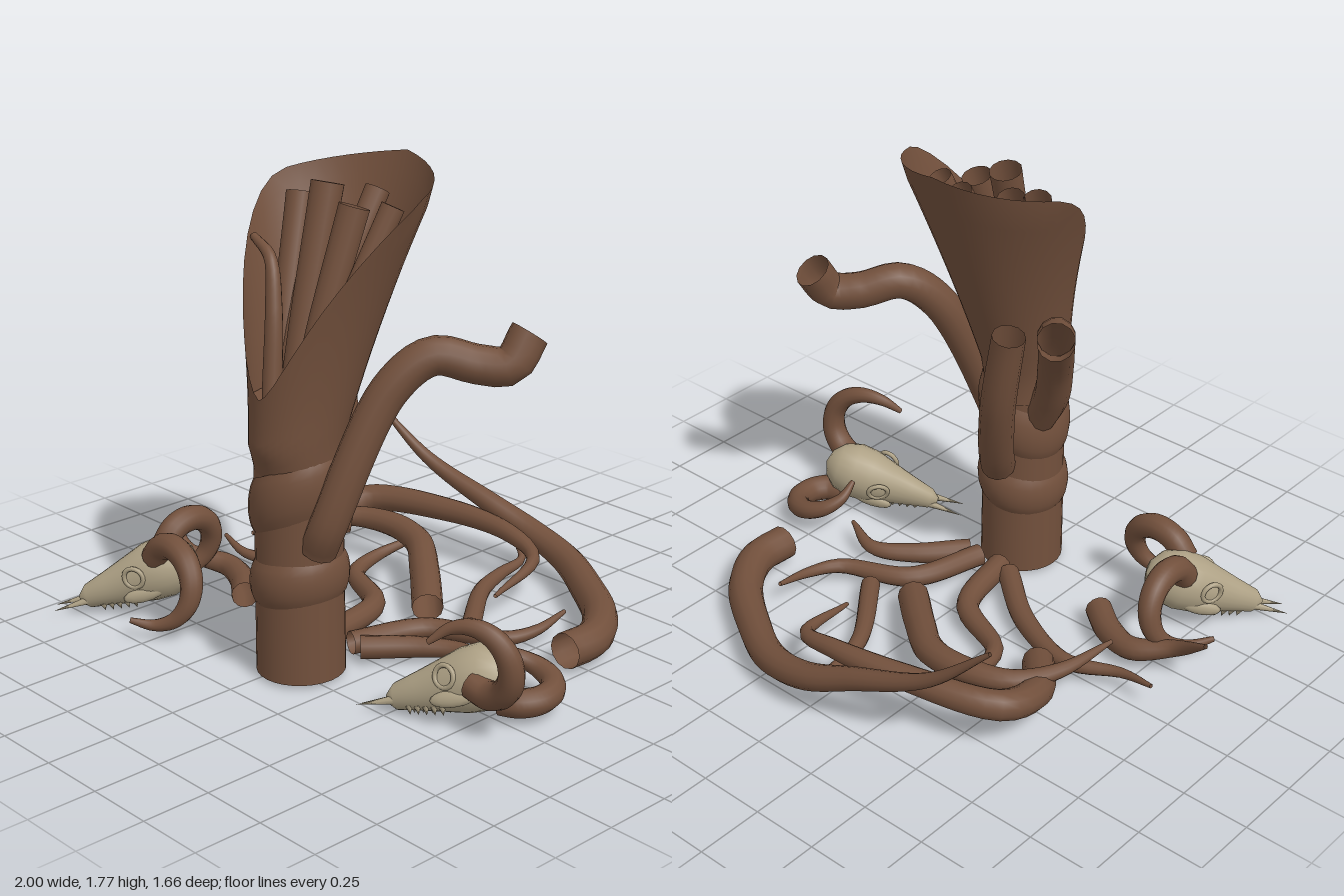
import * as THREE from 'three';

const bark = new THREE.MeshStandardMaterial({ color: 0x72503c, side: THREE.DoubleSide });
bark.name = 'bark brown';
const bone = new THREE.MeshStandardMaterial({ color: 0xaea185, side: THREE.DoubleSide });
bone.name = 'bone';

function part(name, geometry, material = bark) {
  const mesh = new THREE.Mesh(geometry, material);
  mesh.name = name;
  return mesh;
}

// Surface through closed rings; point(row, angle) returns [x, y, z]
function loft(rows, cols, point) {
  const pos = [], index = [];
  for (let i = 0; i < rows; i++) {
    for (let j = 0; j < cols; j++) {
      pos.push(...point(i, (j / cols) * Math.PI * 2));
      if (i === rows - 1) continue;
      const a = i * cols + j, b = i * cols + ((j + 1) % cols);
      index.push(a, b, b + cols, a, b + cols, a + cols);
    }
  }
  const g = new THREE.BufferGeometry();
  g.setAttribute('position', new THREE.Float32BufferAttribute(pos, 3));
  g.setIndex(index);
  g.computeVertexNormals();
  return g;
}

// Tapered round limb along a smooth path, open at its ends
function limb(name, points, r0, r1) {
  const path = new THREE.CatmullRomCurve3(points.map(p => new THREE.Vector3(...p)));
  const n = points.length * 5, sides = 12;
  const tube = new THREE.TubeGeometry(path, n, 1, sides);
  const pos = tube.attributes.position, v = new THREE.Vector3();
  for (let i = 0; i <= n; i++) {
    const c = path.getPointAt(i / n), r = r0 + (r1 - r0) * (i / n) ** 2.2;
    for (let j = 0; j <= sides; j++) {
      const k = i * (sides + 1) + j;
      v.fromBufferAttribute(pos, k).sub(c).multiplyScalar(r).add(c);
      pos.setXYZ(k, v.x, v.y, v.z);
    }
  }
  return part(name, tube);
}

// Root on the ground through [x, z] points, arching by hump and lifting its tip by rise
function root(r, hump, rise, points) {
  const path = points.map(([x, z], i) => {
    const t = i / (points.length - 1);
    return [x, r + 0.012 + hump * Math.sin(t * Math.PI) + rise * t ** 4, z];
  });
  return limb('root', path, r, 0.008);
}

// Horn curling in the plane of axes u and v, drifting sideways towards its tip
function horn(center, u, v, radius, from, to, drift) {
  const path = [];
  for (let i = 0; i <= 8; i++) {
    const t = i / 8, a = THREE.MathUtils.degToRad(from + (to - from) * t);
    path.push(center.map((c, k) => c + radius * (u[k] * Math.cos(a) + v[k] * Math.sin(a)) + drift[k] * t ** 3));
  }
  return limb('horn', path, 0.05, 0.01);
}

// Rounded, tilted band wrapped round the trunk
function band(name, y, height, tilt) {
  return part(name, loft(9, 28, (i, a) => {
    const r = 0.149 + 0.021 * Math.sin((i / 8) * Math.PI) ** 0.7;
    const x = Math.sin(a) * r;
    return [0.05 + x, y + (height * i) / 8 + x * tilt, 0.47 + Math.cos(a) * r * 1.04];
  }));
}

// Flared hollow top, leaning back, with a deep cut at the front
function hollowTop() {
  return part('hollowTop', loft(15, 40, (i, a) => {
    const deg = THREE.MathUtils.radToDeg(Math.min(a, Math.PI * 2 - a));
    const rim = 0.75 * THREE.MathUtils.smoothstep(deg, 0, 110) + (0.25 * deg) / 180;
    const y = 0.75 + (0.28 + 0.74 * rim) * (i / 14);
    const t = (y - 0.75) / 1.02;
    const width = 0.15 + 0.2 * Math.min(1, (t / 0.9) ** 1.7);
    const depth = 0.155 + 0.19 * t ** 1.15;
    const back = 0.31 - 0.35 * Math.max(0, (t - 0.1) / 0.9);
    return [0.05 + Math.sin(a) * width, y, back + depth * (1 + Math.cos(a))];
  }));
}

// Animal skull, nose along +z
function skull(name, at, nose, roll) {
  const group = new THREE.Group();
  group.name = name;
  const add = (label, geometry) => {
    const mesh = part(label, geometry, bone);
    group.add(mesh);
    return mesh;
  };
  const rings = [[-0.14, 0], [-0.125, 0.05], [-0.085, 0.088], [-0.02, 0.106], [0.05, 0.102],
    [0.13, 0.082], [0.22, 0.06], [0.3, 0.042], [0.33, 0.015], [0.33, 0]]; // z, radius
  add('cranium', loft(rings.length, 20, (i, a) => {
    const [z, r] = rings[i];
    return [Math.cos(a) * r * (1 - Math.max(0, z) * 0.5), Math.sin(a) * r * 1.08 - 0.1 * Math.max(0, z), z];
  }));
  for (const s of [-1, 1]) {
    const socket = add('eyeSocket', new THREE.TorusGeometry(0.038, 0.009, 8, 18));
    socket.position.set(s * 0.083, 0.02, 0.095);
    socket.rotation.y = s * 1.25;
    const prong = add('nosePoint', new THREE.ConeGeometry(0.02, 0.17, 8));
    prong.position.set(s * 0.022, -0.04, 0.35);
    prong.rotation.set(Math.PI / 2, 0, -s * 0.08);
    const cheek = add('cheekBone', new THREE.SphereGeometry(1, 12, 8));
    cheek.scale.set(0.02, 0.03, 0.08);
    cheek.position.set(s * 0.075, -0.055, 0.08);
    for (let i = 0; i < 5; i++) {
      const tooth = add('tooth', new THREE.ConeGeometry(0.014, 0.03, 6));
      tooth.rotation.x = Math.PI;
      tooth.position.set(s * (0.04 - i * 0.004), -0.096 + i * 0.004, 0.13 + i * 0.03);
    }
  }
  group.position.set(...at);
  group.lookAt(...nose);
  group.rotateZ(roll);
  return group;
}

export function createModel() {
  const model = new THREE.Group();
  model.name = 'hollowTreeWithSkulls';

  // Trunk with wrapped bands, hollow top and the floor inside it
  const trunk = part('trunk', new THREE.CylinderGeometry(0.151, 0.157, 0.84, 28, 1, true));
  trunk.position.set(0.05, 0.43, 0.47);
  const floor = part('hollowFloor', new THREE.CircleGeometry(0.165, 28));
  floor.rotation.x = -Math.PI / 2;
  floor.position.set(0.05, 1.0, 0.46);
  model.add(trunk, floor, band('lowerBand', 0.28, 0.16, 0.14), band('upperBand', 0.56, 0.2, 0.42), hollowTop());

  // Stems standing inside the hollow, spreading from a shared foot to each top
  for (const [x, y, z, r] of [[-0.15, 1.64, 0.27, 0.05], [-0.09, 1.65, 0.2, 0.05], [0, 1.7, 0.28, 0.058],
    [0.06, 1.66, 0.11, 0.045], [0.13, 1.64, 0.28, 0.055], [0.22, 1.64, 0.19, 0.042]]) {
    const spread = f => 0.05 + (x - 0.05) * f;
    model.add(limb('innerStem', [[spread(0.4), 0.98, 0.47], [spread(0.65), 1.25, 0.32 + z * 0.3], [x, y, z]], r * 0.9, r));
  }
  model.add(limb('innerTendril', [[0.0, 1.0, 0.54], [-0.04, 1.3, 0.49], [-0.1, 1.45, 0.45],
    [-0.22, 1.5, 0.42]], 0.034, 0.014));

  // Cut branches
  model.add(
    limb('leftBranch', [[0.18, 0.5, 0.5], [0.23, 0.6, 0.5], [0.33, 1.06, 0.31], [0.41, 1.17, 0.19],
      [0.51, 1.14, 0.08], [0.59, 1.14, 0.01], [0.61, 1.24, -0.06]], 0.066, 0.068),
    limb('rightBranch', [[-0.02, 0.62, 0.44], [-0.13, 0.8, 0.4], [-0.21, 1.0, 0.32], [-0.35, 1.24, 0.14],
      [-0.42, 1.28, 0.05]], 0.066, 0.066),
    limb('backBranch', [[0.04, 0.48, 0.31], [0, 0.58, 0.25], [-0.08, 0.85, 0.16], [-0.15, 1.17, 0.13]], 0.066, 0.06));

  // Roots: three long ones behind, then the thinner ones
  model.add(
    root(0.066, 0, 0.45, [[0.7, -0.18], [0.7, -0.32], [0.6, -0.48], [0.4, -0.63], [0.2, -0.74], [0, -0.77],
      [-0.2, -0.74], [-0.5, -0.69], [-0.72, -0.63]]),
    root(0.058, 0.13, 0.02, [[-0.5, -0.1], [-0.65, -0.3], [-0.64, -0.48], [-0.3, -0.6], [0, -0.63],
      [0.17, -0.59], [0.23, -0.32]]),
    root(0.058, 0.09, 0.1, [[0.1, -0.1], [-0.08, -0.26], [-0.24, -0.38], [-0.4, -0.4], [-0.57, -0.34],
      [-0.66, -0.18], [-0.7, 0.06]]),
    root(0.036, 0, 0.07, [[0.29, -0.13], [0.09, -0.4], [0.04, -0.55], [0.02, -0.69], [-0.05, -0.72]]),
    root(0.045, 0, 0.06, [[0, 0.28], [-0.08, 0.0], [-0.33, -0.14], [-0.37, -0.28], [-0.33, -0.5]]),
    root(0.042, 0, 0.04, [[0.1, 0.28], [0.2, 0.0], [0.45, -0.13], [0.5, -0.25], [0.5, -0.4]]),
    root(0.042, 0, 0.04, [[-0.06, 0.26], [-0.3, 0.07], [-0.56, -0.02], [-0.76, 0.05], [-0.9, 0.03]]),
    root(0.05, 0, 0.14, [[-0.46, 0.3], [-0.57, 0.22], [-0.7, 0.18], [-0.85, 0.25], [-0.99, 0.22]]),
    root(0.042, 0, 0.02, [[0.15, 0.28], [0.3, 0.12], [0.44, 0.04], [0.6, 0.1]]));

  // Two skulls with curled horns
  const right = [1, 0, 0], up = [0, 1, 0], back = [0, 0, -1];
  model.add(
    skull('rightSkull', [-0.67, 0.175, 0.52], [-0.95, 0.05, 0.82], 0),
    horn([-0.53, 0.18, 0.57], right, up, 0.13, 155, -120, [0.03, 0, 0.18]),
    horn([-0.71, 0.18, 0.36], back, up, 0.13, 155, -120, [-0.18, 0, 0]),
    skull('leftSkull', [0.74, 0.155, 0.29], [0.4, 0.05, 0.5], 0.35),
    horn([0.83, 0.28, 0.36], right, up, 0.13, -115, 150, [0, 0, 0.15]),
    horn([0.77, 0.07, 0.13], right, back, 0.115, -80, 200, [0, 0.13, 0]));

  return model;
}
